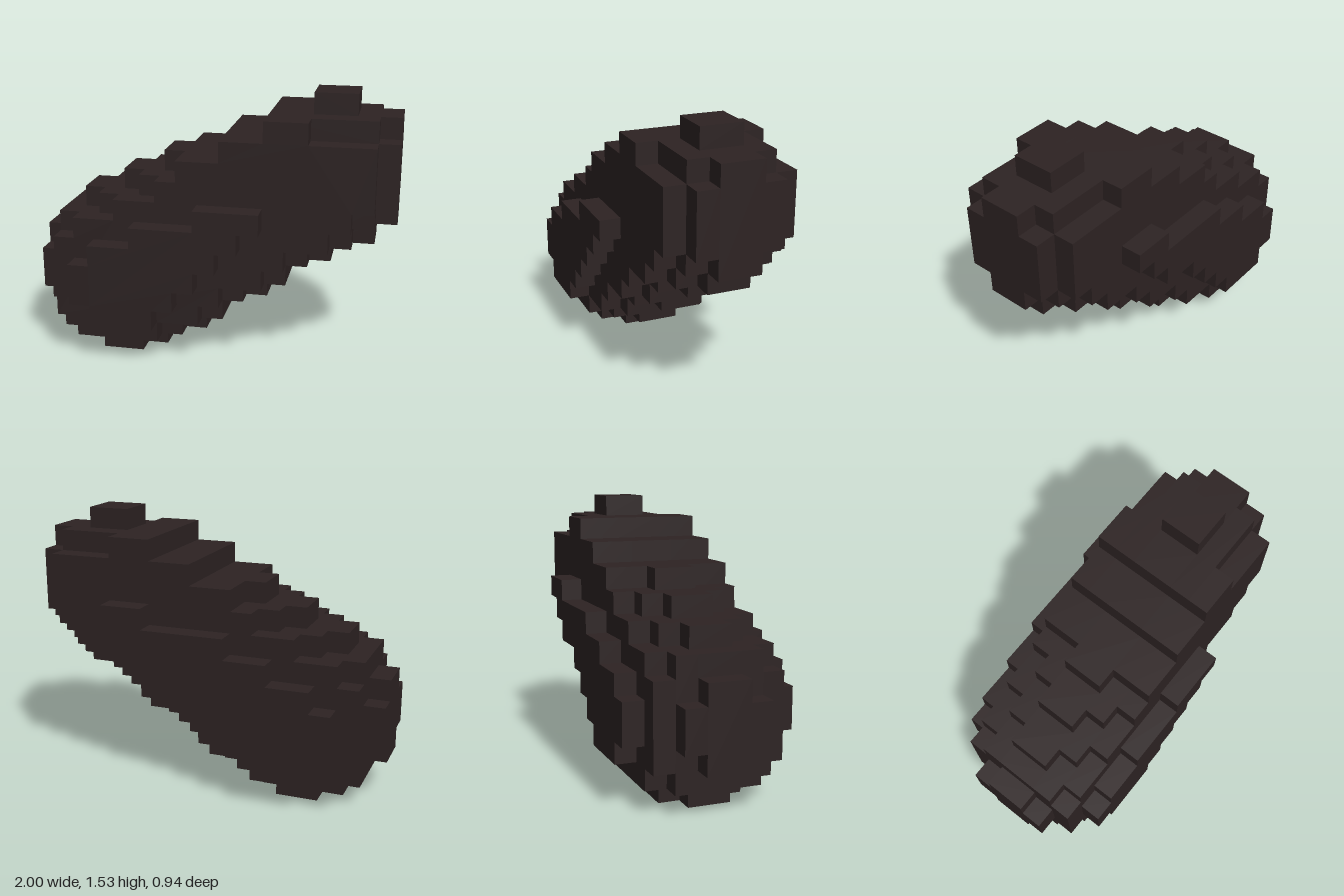
import * as THREE from 'three';

const U = 2 / 17; // edge of one block

// Stepped slab: rows of [start, end] along x, stacked upward from row j0, from depth k0 to k1
function slab(name, material, j0, rows, k0, k1) {
  const pts = [];
  const put = (i, j) => pts.push(new THREE.Vector2(-1 + i * U, j * U));
  rows.forEach(([, end], n) => { put(end, j0 + n); put(end, j0 + n + 1); });
  for (let n = rows.length - 1; n >= 0; n--) {
    put(rows[n][0], j0 + n + 1);
    put(rows[n][0], j0 + n);
  }
  // drop repeated and collinear points
  const clean = pts.filter((p, i) => {
    const a = pts[(i + pts.length - 1) % pts.length], b = pts[(i + 1) % pts.length];
    return Math.abs((p.x - a.x) * (b.y - p.y) - (p.y - a.y) * (b.x - p.x)) > 1e-9;
  });
  const geo = new THREE.ExtrudeGeometry(new THREE.Shape(clean), { depth: (k1 - k0) * U, bevelEnabled: false });
  geo.translate(0, 0, (k0 - 4) * U);
  const mesh = new THREE.Mesh(geo, material);
  mesh.name = name;
  return mesh;
}

export function createModel() {
  const group = new THREE.Group();
  group.name = 'blockyLog';
  const bark = new THREE.MeshStandardMaterial({ color: 0x2d2323 });
  bark.name = 'darkBrown';

  // central core with the small cap on top
  const core = [[2, 6], [1, 8], [0, 9], [0, 11], [0, 12], [0, 14], [1, 16], [2, 17],
    [4, 17], [6, 17], [9, 17], [11, 17], [13, 15]];
  group.add(slab('core', bark, 0, core, 3, 5));

  // inner layers on both sides of the core
  const inner = [[3, 5], [1, 7], [1, 9], [0, 10], [0, 12], [1, 13], [1, 15], [3, 16],
    [5, 17], [7, 17], [9, 17], [11, 16]];
  group.add(slab('innerLayerFront', bark, 0, inner, 5, 6));
  group.add(slab('innerLayerBack', bark, 0, inner, 2, 3));

  // outer layers
  const outer = [[2, 6], [1, 8], [1, 9], [1, 11], [1, 12], [2, 14], [4, 15],
    [6, 16], [7, 16], [9, 16], [11, 13]];
  group.add(slab('outerLayerFront', bark, 1, outer, 6, 7));
  group.add(slab('outerLayerBack', bark, 1, outer, 1, 2));

  // raised side bulges, the back one reaching higher
  const front = [[3, 6], [2, 7], [2, 8], [3, 9], [5, 10], [8, 11]];
  const back = [[3, 6], [2, 7], [2, 8], [3, 9], [5, 11], [7, 12], [11, 13]];
  group.add(slab('frontBulge', bark, 2, front, 7, 8));
  group.add(slab('backBulge', bark, 2, back, 0, 1));

  return group;
}
